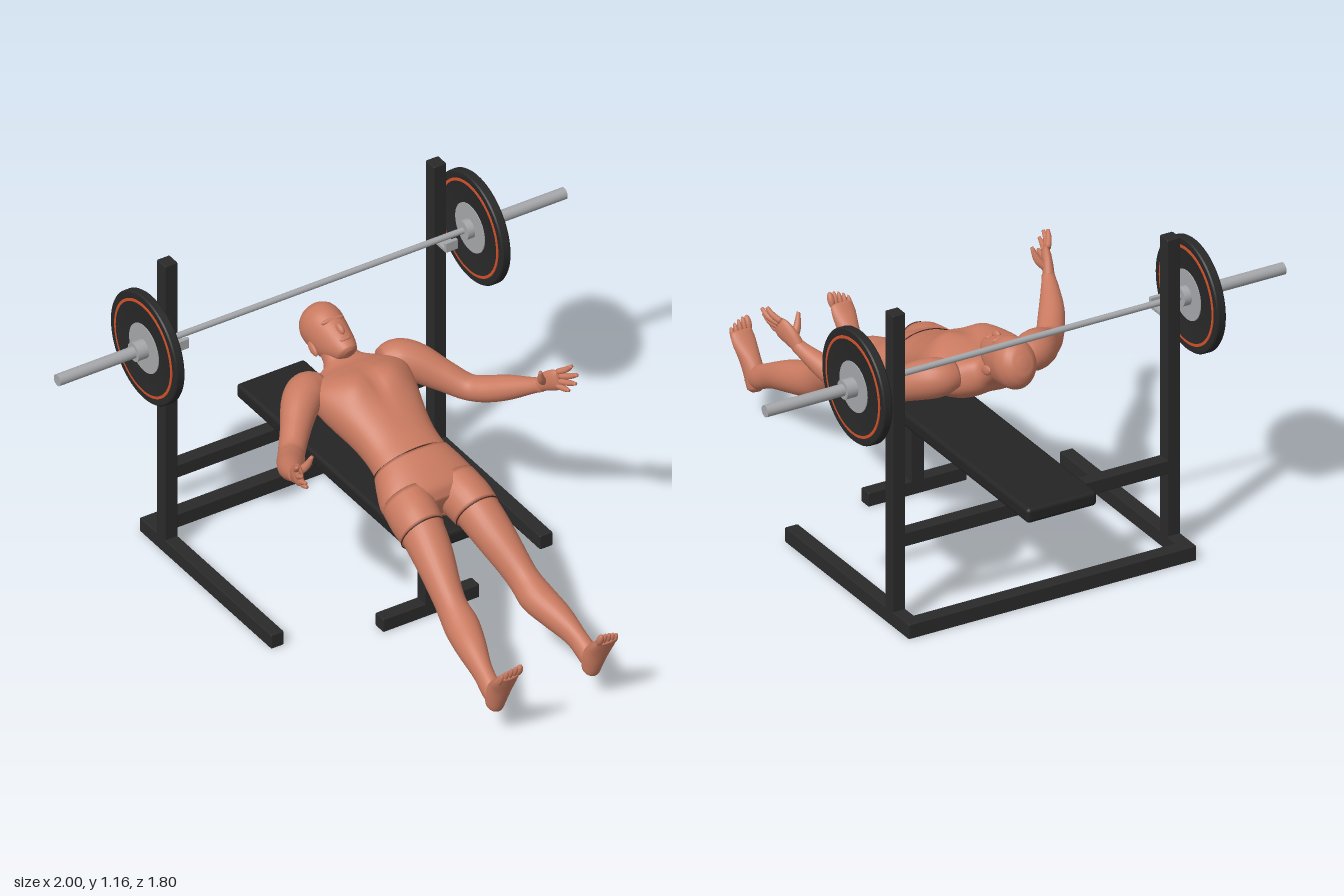
import * as THREE from 'three';
import { toCreasedNormals } from 'three/addons/utils/BufferGeometryUtils.js';
import { RoundedBoxGeometry } from 'three/addons/geometries/RoundedBoxGeometry.js';

const mat = (name, color, extra = {}) => {
  const m = new THREE.MeshStandardMaterial({ color, ...extra });
  m.name = name;
  return m;
};
const skin = mat('skin', 0xc97a60);
const seam = mat('seam', 0x4a2820);
const frame = mat('frame black', 0x2a2a2b);
const padding = mat('pad black', 0x242425);
const rubber = mat('plate rubber', 0x282828);
const orange = mat('orange trim', 0xd0512a);
const steel = mat('steel', 0xa6a7aa);

function add(parent, name, geo, material, x = 0, y = 0, z = 0) {
  const m = new THREE.Mesh(geo, material);
  m.name = name;
  m.position.set(x, y, z);
  parent.add(m);
  return m;
}

// Box given by its min and max on each axis
const bar = (parent, name, [x0, x1], [y0, y1], [z0, z1], material = frame) =>
  add(parent, name, new RoundedBoxGeometry(x1 - x0, y1 - y0, z1 - z0, 1, 0.004), material,
    (x0 + x1) / 2, (y0 + y1) / 2, (z0 + z1) / 2);

// Smooth skin through stations [x, y, z, radiusU, radiusV]; axis fixes the ring direction
function sweep(stations, { ref = [1, 0, 0], axis = null, power = 2, seg = 28, sub = 5, rule = null } = {}) {
  const path = new THREE.CatmullRomCurve3(stations.map(s => new THREE.Vector3(s[0], s[1], s[2])));
  const radii = new THREE.CatmullRomCurve3(stations.map(s => new THREE.Vector3(s[3], s[4], 0)), false, 'catmullrom', 0.5);
  const n = (stations.length - 1) * sub, pos = [], idx = [];
  const r = new THREE.Vector3(...ref), U = new THREE.Vector3(), V = new THREE.Vector3();
  const pw = v => Math.sign(v) * Math.pow(Math.abs(v), 2 / power);
  for (let i = 0; i <= n; i++) {
    const c = path.getPoint(i / n), q = radii.getPoint(i / n);
    const T = axis ? new THREE.Vector3(...axis) : path.getTangent(i / n);
    V.crossVectors(r, T).normalize();
    U.crossVectors(T, V);
    for (let j = 0; j < seg; j++) {
      const a = j / seg * Math.PI * 2;
      const p = c.clone().addScaledVector(U, pw(Math.cos(a)) * q.x).addScaledVector(V, pw(Math.sin(a)) * q.y);
      if (rule) rule(p);
      pos.push(p.x, p.y, p.z);
      if (i < n) {
        const k = i * seg + j, l = i * seg + (j + 1) % seg;
        idx.push(k, k + seg, l, l, k + seg, l + seg);
      }
    }
  }
  const first = pos.length / 3, a = path.getPoint(0), b = path.getPoint(1);
  pos.push(a.x, a.y, a.z, b.x, b.y, b.z);
  for (let j = 0; j < seg; j++) {
    const l = (j + 1) % seg;
    idx.push(first, j, l, first + 1, n * seg + l, n * seg + j);
  }
  const g = new THREE.BufferGeometry();
  g.setAttribute('position', new THREE.Float32BufferAttribute(pos, 3));
  g.setIndex(idx);
  g.computeVertexNormals();
  return g;
}
const UP = { axis: [0, 1, 0] };

// Ellipsoid
function blob(parent, name, p, r) {
  add(parent, name, new THREE.SphereGeometry(1, 16, 12), skin, ...p).scale.set(...r);
}

function buildBench(root) {
  const g = new THREE.Group();
  g.name = 'bench';
  root.add(g);
  add(g, 'pad', new RoundedBoxGeometry(0.27, 0.055, 1.11, 3, 0.015), padding, 0, 0.375, -0.35);
  bar(g, 'spine', [-0.025, 0.025], [0.29, 0.345], [-0.7, 0.09]);
  bar(g, 'frontLeg', [-0.025, 0.025], [0.04, 0.3], [0.04, 0.09]);
  bar(g, 'frontFoot', [-0.19, 0.19], [0, 0.052], [0.04, 0.09]);
  bar(g, 'rearBase', [-0.555, 0.555], [0, 0.055], [-0.84, -0.787]);
  bar(g, 'crossBeam', [-0.52, 0.52], [0.288, 0.34], [-0.735, -0.685]);
  for (const s of [-1, 1]) {
    const xs = [s * 0.53 - 0.025, s * 0.53 + 0.025];
    bar(g, 'baseRail', xs, [0, 0.055], [-0.84, -0.03]);
    bar(g, 'upright', xs, [0.03, 1.165], [-0.735, -0.683]);
    bar(g, 'hook', xs, [0.86, 0.877], [-0.69, -0.61], steel);
    bar(g, 'hookLip', xs, [0.86, 0.9], [-0.625, -0.61], steel);
  }
}

function buildBarbell(root) {
  const g = new THREE.Group();
  g.name = 'barbell';
  g.position.set(0, 0.892, -0.653);
  root.add(g);
  const rod = (name, r, x0, x1, m = steel) =>
    add(g, name, new THREE.CylinderGeometry(r, r, Math.abs(x1 - x0), 32), m, (x0 + x1) / 2).rotation.z = Math.PI / 2;
  const lathe = (name, pts, m, x) =>
    add(g, name, toCreasedNormals(new THREE.LatheGeometry(pts.map(p => new THREE.Vector2(...p)), 64), 0.6), m, x).rotation.z = Math.PI / 2;
  rod('shaft', 0.011, -0.62, 0.62);
  for (const s of [-1, 1]) {
    rod('sleeve', 0.021, s * 0.6, s);
    rod('innerCollar', 0.034, s * 0.6, s * 0.63);
    rod('outerCollar', 0.034, s * 0.65, s * 0.7);
    lathe('plate', [[0, -0.013], [0.165, -0.013], [0.18, -0.017], [0.2, -0.017], [0.204, -0.012],
      [0.204, 0.012], [0.2, 0.017], [0.18, 0.017], [0.165, 0.013], [0, 0.013]], rubber, s * 0.643);
    lathe('trimRing', [[0.167, -0.019], [0.177, -0.019], [0.177, 0.019], [0.167, 0.019]], orange, s * 0.643);
    rod('hub', 0.09, s * 0.643 - 0.016, s * 0.643 + 0.016);
  }
}

// Thin seam line around a ring at height y
function seamLine(parent, x, y, z, rx, rz) {
  const t = add(parent, 'seam', new THREE.TorusGeometry(1, 0.018, 6, 48), seam, x, y, z);
  t.rotation.x = Math.PI / 2;
  t.scale.set(rx, rz, 0.12);
}

function buildBody(root) {
  const b = new THREE.Group();
  b.name = 'body';
  b.position.set(0, 0.12, 0.81);
  b.rotation.x = -1.138;
  root.add(b);

  // Torso, with chest muscles and spine groove pushed in by rule
  const muscles = p => {
    const bump = (cx, cy, w, h) => Math.exp(-(((Math.abs(p.x) - cx) / w) ** 2) - ((p.y - cy) / h) ** 2);
    if (p.z > 0.05) p.z += 0.016 * bump(0.075, 1.235, 0.055, 0.055) - 0.008 * bump(0, 1.22, 0.018, 0.09);
    else if (p.z < -0.02) p.z += 0.01 * bump(0, 1.15, 0.03, 0.2) - 0.006 * bump(0.09, 1.26, 0.05, 0.08);
  };
  add(b, 'torso', sweep([[0, 0.88, 0.028, 0.145, 0.085], [0, 0.95, 0.031, 0.136, 0.087], [0, 1.02, 0.028, 0.134, 0.088],
    [0, 1.1, 0.025, 0.145, 0.097], [0, 1.2, 0.018, 0.17, 0.105], [0, 1.28, 0.01, 0.185, 0.1], [0, 1.33, -0.007, 0.18, 0.083],
    [0, 1.365, -0.015, 0.135, 0.064], [0, 1.395, -0.008, 0.075, 0.053], [0, 1.43, 0.002, 0.056, 0.053], [0, 1.49, 0.01, 0.054, 0.052]],
    { ...UP, power: 2.3, seg: 64, rule: muscles }), skin);

  // Head
  add(b, 'head', sweep([[0, 1.38, 0.066, 0.016, 0.02], [0, 1.39, 0.058, 0.036, 0.042], [0, 1.42, 0.042, 0.051, 0.062],
    [0, 1.46, 0.022, 0.062, 0.083], [0, 1.51, 0.014, 0.07, 0.09], [0, 1.55, 0.01, 0.073, 0.09],
    [0, 1.585, 0.009, 0.062, 0.074], [0, 1.606, 0.009, 0.04, 0.048], [0, 1.614, 0.009, 0.012, 0.015]],
    { ...UP, seg: 36 }), skin);
  blob(b, 'nose', [0, 1.462, 0.106], [0.012, 0.024, 0.016]);
  blob(b, 'lips', [0, 1.423, 0.1], [0.022, 0.009, 0.009]);
  blob(b, 'brow', [0, 1.507, 0.092], [0.045, 0.011, 0.013]);

  // Shorts
  add(b, 'shorts', sweep([[0, 0.945, 0.031, 0.142, 0.092], [0, 0.89, 0.026, 0.162, 0.1], [0, 0.83, 0.022, 0.178, 0.1],
    [0, 0.785, 0.026, 0.165, 0.085], [0, 0.755, 0.03, 0.11, 0.05]].reverse(), { ...UP, power: 2.3, seg: 48 }), skin);
  seamLine(b, 0, 0.945, 0.031, 0.143, 0.093);

  for (const s of [-1, 1]) {
    blob(b, 'ear', [s * 0.072, 1.475, 0.002], [0.009, 0.03, 0.018]);
    blob(b, 'buttock', [s * 0.075, 0.825, -0.025], [0.08, 0.085, 0.06]);
    add(b, 'shortsLeg', sweep([[s * 0.108, 0.685, 0.04, 0.08, 0.086], [s * 0.102, 0.75, 0.036, 0.086, 0.093],
      [s * 0.092, 0.83, 0.026, 0.085, 0.092]], UP), skin);
    seamLine(b, s * 0.108, 0.685, 0.04, 0.081, 0.087);
    add(b, 'leg', sweep([[0.19, 0.02, 0.012, 0.03, 0.036], [0.19, 0.07, 0.017, 0.034, 0.042], [0.184, 0.14, 0.02, 0.035, 0.043],
      [0.167, 0.24, 0.013, 0.052, 0.055], [0.15, 0.33, 0.001, 0.06, 0.061], [0.144, 0.4, 0.001, 0.053, 0.061],
      [0.137, 0.46, 0.012, 0.055, 0.062], [0.12, 0.58, 0.034, 0.069, 0.07], [0.108, 0.69, 0.042, 0.076, 0.08],
      [0.1, 0.78, 0.035, 0.076, 0.08]].map(p => [s * p[0], ...p.slice(1)]), UP), skin);
    // Foot with five toes
    add(b, 'foot', sweep([[0.19, 0.03, -0.032, 0.014, 0.018], [0.19, 0.033, -0.018, 0.03, 0.033], [0.19, 0.04, 0.03, 0.034, 0.042],
      [0.191, 0.035, 0.08, 0.036, 0.037], [0.193, 0.024, 0.14, 0.043, 0.024], [0.193, 0.018, 0.18, 0.04, 0.015]]
      .map(p => [s * p[0], ...p.slice(1)]), { axis: [0, 0, 1] }), skin);
    for (let i = 0; i < 5; i++)
      blob(b, 'toe', [s * (0.16 + i * 0.0165), 0.016, 0.195 - i * i * 0.0016], [i ? 0.008 : 0.012, i ? 0.01 : 0.013, 0.028]);
  }
}

function buildArms(root) {
  for (const s of [-1, 1]) {
    const g = new THREE.Group();
    g.name = s > 0 ? 'leftArm' : 'rightArm';
    root.add(g);
    const limb = (name, pts, seg = 24) =>
      add(g, name, sweep(pts.map(p => [s * p[0], ...p.slice(1)]), { ref: [0, 1, 0], seg }), skin);
    limb('arm', [[0.12, 0.685, -0.41, 0.045, 0.05], [0.175, 0.685, -0.4, 0.066, 0.068], [0.225, 0.672, -0.365, 0.068, 0.066],
      [0.29, 0.635, -0.295, 0.056, 0.052], [0.35, 0.605, -0.225, 0.045, 0.046], [0.385, 0.615, -0.175, 0.045, 0.047],
      [0.43, 0.645, -0.105, 0.042, 0.043], [0.47, 0.685, -0.025, 0.028, 0.029], [0.485, 0.703, 0.01, 0.025, 0.022]]);
    limb('palm', [[0.482, 0.698, 0, 0.024, 0.02], [0.495, 0.725, 0.03, 0.034, 0.019], [0.507, 0.745, 0.062, 0.038, 0.017],
      [0.513, 0.753, 0.08, 0.032, 0.011]], 18);
    // Fingers: knuckle, middle joint and tip
    const fingers = [
      [[0.515, 0.775, 0.062], [0.533, 0.793, 0.088], [0.542, 0.815, 0.108]],
      [[0.517, 0.762, 0.072], [0.536, 0.777, 0.108], [0.543, 0.797, 0.14]],
      [[0.512, 0.746, 0.076], [0.527, 0.755, 0.112], [0.532, 0.77, 0.148]],
      [[0.504, 0.731, 0.072], [0.514, 0.732, 0.102], [0.517, 0.738, 0.13]],
      [[0.488, 0.722, 0.022], [0.464, 0.752, 0.042], [0.45, 0.795, 0.058]],
    ];
    fingers.forEach((f, i) => limb(i < 4 ? 'finger' : 'thumb',
      f.map((p, k) => [...p, ...(k === 2 ? [0.006, 0.006] : i < 4 ? [0.0105, 0.0105] : [0.014, 0.013])]), 10));
  }
}

export function createModel() {
  const root = new THREE.Group();
  root.name = 'benchPress';
  buildBench(root);
  buildBarbell(root);
  buildBody(root);
  buildArms(root);
  return root;
}
